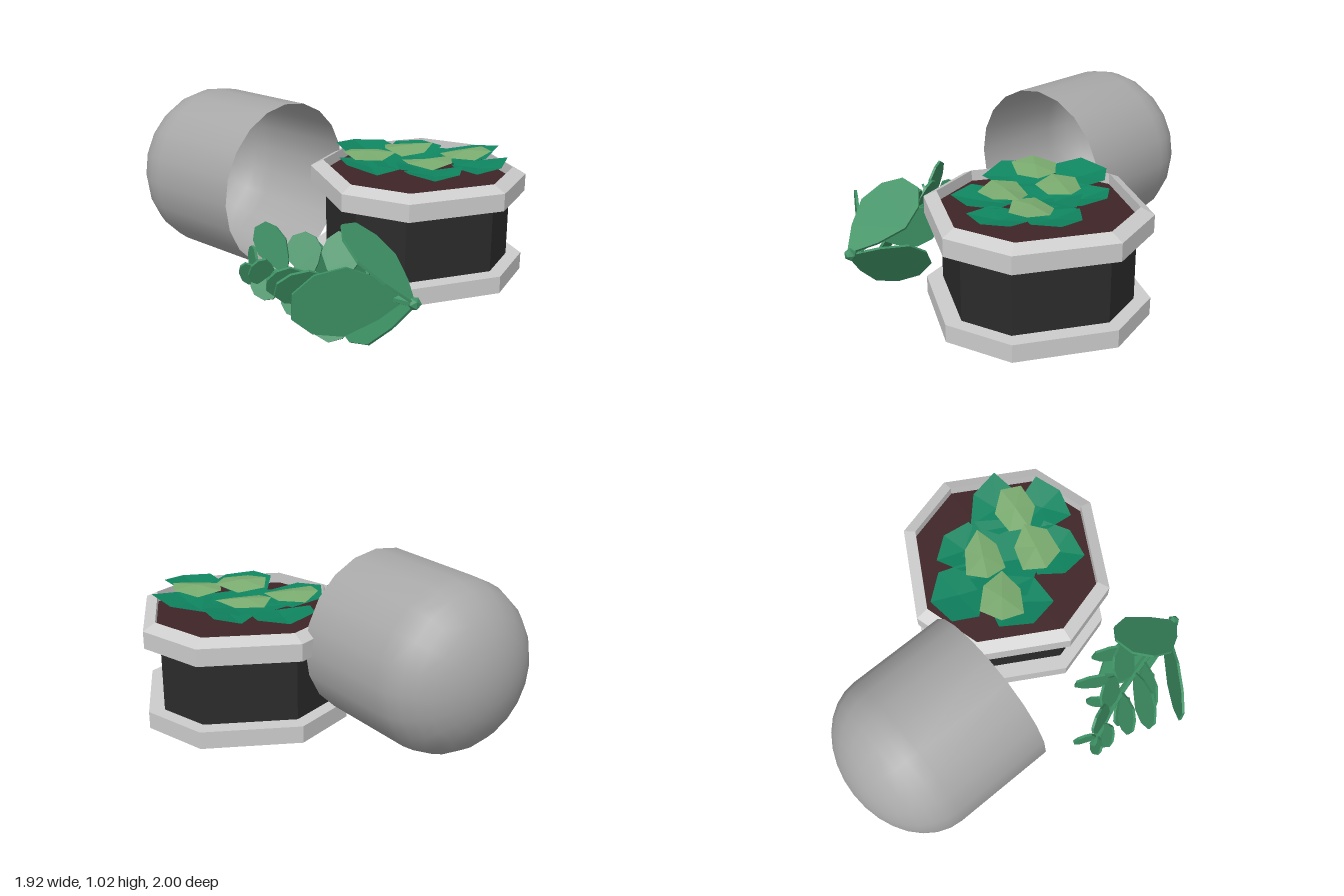
import * as THREE from 'three';
import { toCreasedNormals } from 'three/addons/utils/BufferGeometryUtils.js';

const V = (x, y, z) => new THREE.Vector3(x, y, z);
const mat = (color, flat = true) =>
  new THREE.MeshStandardMaterial({ color, flatShading: flat, side: THREE.DoubleSide });

function add(parent, name, geometry, material) {
  const mesh = new THREE.Mesh(geometry, material);
  mesh.name = name;
  parent.add(mesh);
  return mesh;
}

function addGroup(parent, name) {
  const group = new THREE.Group();
  group.name = name;
  parent.add(group);
  return group;
}

// Octagon from an [apothem, y] profile; ratio sets how long the axis-aligned sides are
function octagon(profile, ratio = 0.5) {
  const k = 1 / Math.cos(Math.PI / 8), grow = ratio / Math.tan(Math.PI / 8);
  const g = new THREE.LatheGeometry(
    profile.map(([r, y]) => new THREE.Vector2(r * k, y)), 8, Math.PI / 8).toNonIndexed();
  const p = g.attributes.position;
  for (let i = 0; i < p.count; i++) {
    const x = p.getX(i), z = p.getZ(i);
    if (Math.abs(x) < Math.abs(z)) p.setX(i, x * grow);
    else p.setZ(i, z * grow);
  }
  g.computeVertexNormals();
  return g;
}

// Faceted potted leaf: uneven hexagon rising away from the pot centre, folded about its middle
function pottedLeaf([x, z, rx, rz], turn, base, slope, bulge) {
  const height = (px, pz) => base + slope * Math.hypot(px, pz);
  const corner = (i) => {
    const a = turn + (i % 6) * Math.PI / 3;
    const r = 1.13 + 0.12 * Math.cos(3 * a);
    const px = x + rx * r * Math.cos(a), pz = z + rz * r * Math.sin(a);
    return [px, height(px, pz) + 0.012 * Math.cos(2 * a), pz];
  };
  const pos = [];
  for (let i = 0; i < 6; i++) pos.push(x, height(x, z) + bulge, z, ...corner(i + 1), ...corner(i));
  const g = new THREE.BufferGeometry();
  g.setAttribute('position', new THREE.Float32BufferAttribute(pos, 3));
  g.computeVertexNormals();
  return g;
}

// Thin rounded leaf from base to tip, spread along the side direction
function roundLeaf(base, tip, side, width) {
  const y = tip.clone().sub(base), len = y.length();
  y.normalize();
  const x = side.clone().addScaledVector(y, -side.dot(y)).normalize();
  const z = new THREE.Vector3().crossVectors(x, y);
  const half = [[0.03, 0], [0.3, 0.25], [0.5, 0.55], [0.42, 0.82], [0.18, 1]];
  const outline = [...half, ...half.map(([w, t]) => [-w, t]).reverse()];
  const shape = new THREE.Shape(outline.map(([w, t]) => new THREE.Vector2(w * width, t * len)));
  const g = new THREE.ExtrudeGeometry(shape, { depth: 0.014, bevelEnabled: false });
  g.translate(0, 0, -0.007);
  return g.applyMatrix4(new THREE.Matrix4().makeBasis(x, y, z).setPosition(base));
}

export function createModel() {
  const model = new THREE.Group();
  model.name = 'planterWithFallenDome';
  const grey = mat(0xcccccc);

  // Octagonal planter
  const planter = addGroup(model, 'planter');
  planter.position.set(0.43, 0, 0.055);
  add(planter, 'base', octagon([[0, 0.08], [0.528, 0.08], [0.528, 0.175], [0, 0.175]]), grey);
  add(planter, 'body', octagon([[0.445, 0.175], [0.445, 0.54]], 0.55), mat(0x2b2b2b));
  add(planter, 'rim', octagon([[0.44, 0.54], [0.528, 0.54], [0.528, 0.635],
    [0.465, 0.67], [0.465, 0.6]]), grey);
  add(planter, 'soil', octagon([[0.465, 0.61], [0, 0.61]]), mat(0x3f2427));

  // Leaves growing in the planter: x, z, half sizes, measured from the pot centre
  const pottedPlant = addGroup(planter, 'pottedPlant');
  const darkGreen = mat(0x0f8560), lightGreen = mat(0x7aab6f);
  const darkLeaves = [
    [-0.19, -0.29, 0.16, 0.13], [0.07, -0.21, 0.13, 0.14], [0.29, 0, 0.16, 0.14],
    [0.25, 0.25, 0.14, 0.13], [-0.02, 0.27, 0.15, 0.13], [-0.28, 0.02, 0.15, 0.16],
    [-0.02, -0.03, 0.24, 0.2],
  ];
  const lightLeaves = [
    [-0.265, -0.065, 0.13, 0.11], [-0.01, -0.125, 0.13, 0.1],
    [-0.005, 0.165, 0.13, 0.11], [0.245, 0.095, 0.13, 0.1],
  ];
  darkLeaves.forEach((l, i) =>
    add(pottedPlant, 'darkLeaf', pottedLeaf(l, 0.4 + i * 0.9, 0.662, 0.12, -0.015), darkGreen));
  lightLeaves.forEach((l, i) =>
    add(pottedPlant, 'lightLeaf', pottedLeaf(l, 0.2 + i * 0.8, 0.715, 0.06, 0.02), lightGreen));

  // Dome cover lying on its side with its open end towards the front
  const profile = [new THREE.Vector2(0.457, 0), new THREE.Vector2(0.457, 0.55)];
  for (let i = 1; i <= 8; i++) {
    const a = (i / 8) * Math.PI / 2;
    profile.push(new THREE.Vector2(0.457 * Math.cos(a), 0.55 + 0.354 * Math.sin(a)));
  }
  const dome = add(model, 'domeCover',
    toCreasedNormals(new THREE.LatheGeometry(profile, 20), 0.7), mat(0xa8a8a8, false));
  dome.position.set(-0.255, 0.553, -0.145);
  dome.rotation.set(-Math.PI / 2, 0, Math.PI / 6);

  // Fallen plant: stem with its thick root end
  const fallen = addGroup(model, 'fallenPlant');
  const green = mat(0x3d9063);
  const curve = new THREE.CatmullRomCurve3([
    V(0.05, 0.29, 0.98), V(-0.15, 0.3, 0.76), V(-0.36, 0.31, 0.55), V(-0.6, 0.31, 0.36)]);
  add(fallen, 'stem', new THREE.TubeGeometry(curve, 10, 0.02, 6), green);
  const root = add(fallen, 'stemEnd', new THREE.IcosahedronGeometry(0.035, 0), green);
  root.position.set(0.04, 0.29, 0.965);

  // Three big leaves at the root end
  const bigLeaf = (...leaf) => add(fallen, 'bigLeaf', roundLeaf(...leaf), green);
  bigLeaf(V(0.03, 0.3, 0.97), V(-0.16, 0.58, 0.6), V(0.28, -0.15, -0.05), 0.34);
  bigLeaf(V(0.03, 0.3, 0.9), V(-0.53, 0.32, 0.875), V(0, 1, 0), 0.35);
  bigLeaf(V(0.03, 0.28, 0.97), V(-0.17, 0.05, 0.54), V(0.08, 0.18, -0.15), 0.32);

  // Smaller leaves along the stem: place on stem, reach in x, y, z; they narrow towards the tip
  const smallLeaves = [
    [0.27, 0, 0.07, -0.34], [0.5, 0, 0.04, -0.32],
    [0.36, -0.29, -0.06, -0.02], [0.46, -0.33, 0.03, 0.02], [0.62, -0.24, 0, 0],
    [0.4, -0.16, -0.23, 0.04], [0.48, 0.08, 0.22, -0.1], [0.64, -0.02, 0.19, -0.12],
    [0.66, -0.09, -0.18, 0.04], [0.78, -0.1, 0.23, -0.12], [0.86, -0.08, -0.12, 0.02],
    [0.85, -0.13, 0.03, 0.01], [0.93, -0.1, -0.03, -0.03], [0.95, -0.01, 0.06, -0.12],
    [0.73, 0.05, 0.05, -0.13],
  ];
  for (const [t, x, y, z] of smallLeaves) {
    const base = curve.getPoint(t);
    const side = Math.abs(y) > 0.1 ? V(1, 0, 0.7) : V(0, 1, x < -0.05 ? 0.35 : 0);
    add(fallen, 'smallLeaf', roundLeaf(base, V(x, y, z).add(base), side, 0.27 - 0.13 * t), green);
  }

  return model;
}
